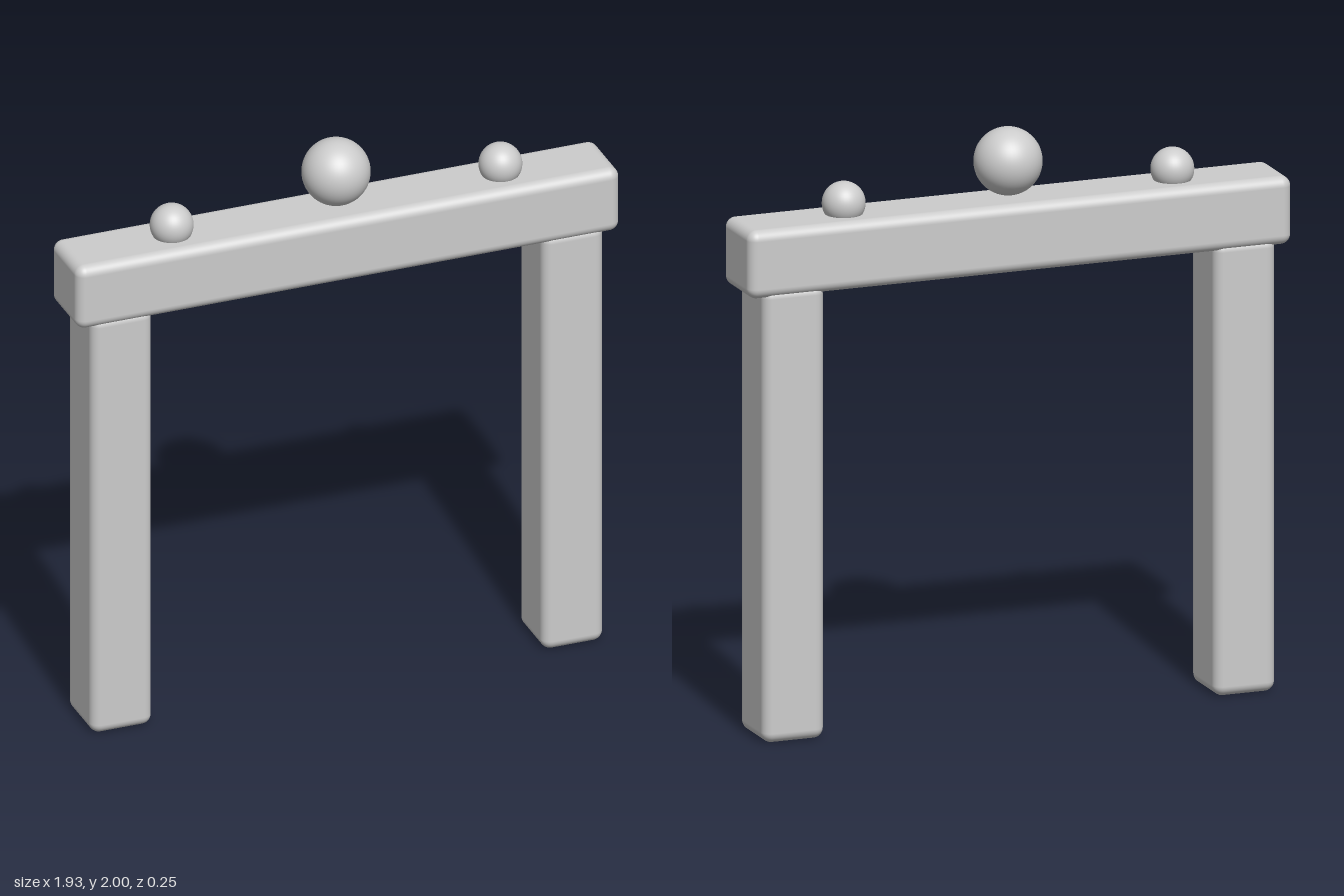
import * as THREE from 'three';
import { RoundedBoxGeometry } from 'three/addons/geometries/RoundedBoxGeometry.js';

export function createModel() {
  const model = new THREE.Group();
  model.name = 'gateway';
  const stone = new THREE.MeshStandardMaterial({ color: 0xcccccc });
  stone.name = 'light grey stone';

  const add = (name, geometry, x, y) => {
    const mesh = new THREE.Mesh(geometry, stone);
    mesh.name = name;
    mesh.position.set(x, y, 0);
    model.add(mesh);
  };

  // Crossbeam resting on the posts
  add('crossbeam', new RoundedBoxGeometry(1.934, 0.234, 0.247, 5, 0.035), 0, 1.647);

  // Mirrored posts, with a small ball sunk into the beam on each side
  const post = new RoundedBoxGeometry(0.218, 1.56, 0.232, 5, 0.035);
  const smallBall = new THREE.SphereGeometry(0.073, 40, 24);
  for (const [side, s] of [['left', 1], ['right', -1]]) {
    add(side + 'Post', post, s * 0.803, 0.78);
    add(side + 'Ball', smallBall, s * 0.585, 1.8);
  }

  // Large ball at the centre
  add('centreBall', new THREE.SphereGeometry(0.115, 48, 32), 0, 1.885);

  return model;
}
